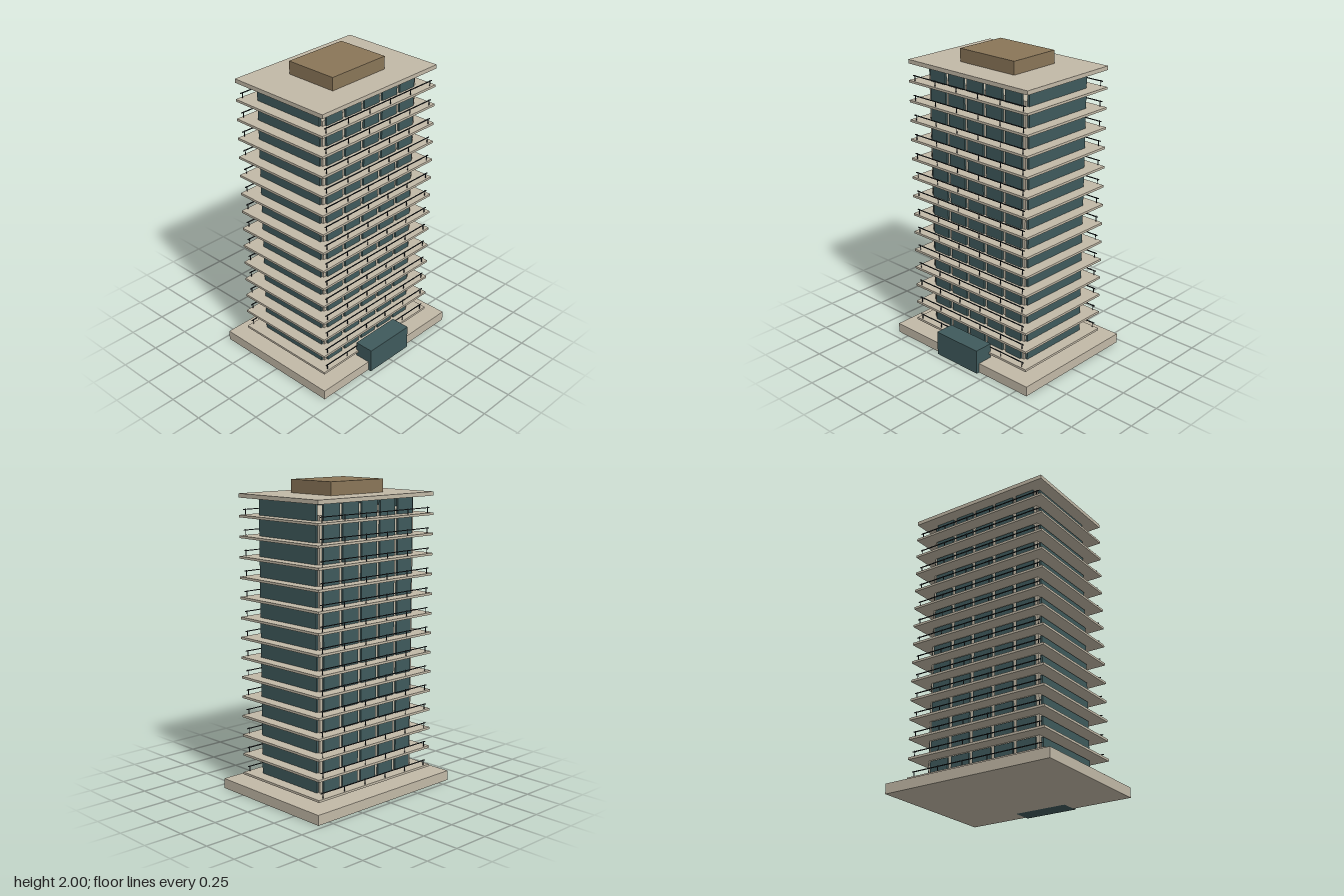
import * as THREE from 'three';

const material = (color) => new THREE.MeshStandardMaterial({ color, flatShading: true });

export function createModel() {
  const tower = new THREE.Group();
  tower.name = 'apartmentTower';
  const concrete = material(0xc2b9a7);
  const glass = material(0x3f5a5c);
  const brown = material(0x8a7658);
  const metal = material(0x22272a);

  // Box given by its limits on each axis
  const block = (name, mat, [x0, x1], [y0, y1], [z0, z1], parent = tower) => {
    const mesh = new THREE.Mesh(new THREE.BoxGeometry(x1 - x0, y1 - y0, z1 - z0), mat);
    mesh.position.set((x0 + x1) / 2, (y0 + y1) / 2, (z0 + z1) / 2);
    mesh.name = name;
    parent.add(mesh);
    return mesh;
  };

  const midZ = -0.0125;
  const storeys = 14;
  const pitch = 0.1287;
  const firstFloor = 0.11; // top of the lowest balcony slab

  // Podium, core, roof and entrance
  block('podium', concrete, [-0.587, 0.587], [0, 0.065], [-0.465, 0.44]);
  block('core', concrete, [-0.405, 0.405], [0.065, 1.815], [-0.285, 0.26]);
  block('roofSlab', concrete, [-0.497, 0.497], [1.89, 1.916], [-0.375, 0.35]);
  block('roofPlantRoom', brown, [-0.225, 0.225], [1.916, 2], [-0.193, 0.167]);
  block('entranceBlock', glass, [-0.18, 0.18], [0, 0.165], [0.333, 0.463]);

  for (let i = 0; i < storeys; i++) {
    const floor = new THREE.Group();
    floor.name = `storey${i + 1}`;
    floor.position.y = firstFloor + i * pitch;
    tower.add(floor);
    block('balconySlab', concrete, [-0.497, 0.497], [-0.015, 0], [-0.375, 0.35], floor);

    const height = [0, 0.104];
    for (const side of [-1, 1]) {
      // Five panes on the front and back
      const face = midZ + side * 0.278;
      for (let bay = -2; bay <= 2; bay++) {
        const x = bay * 0.159;
        block('window', glass, [x - 0.066, x + 0.066], height, [face - 0.007, face + 0.007], floor);
      }

      // One long pane on each end wall
      block('endWindow', glass, [side * 0.413 - 0.007, side * 0.413 + 0.007], height, [-0.27, 0.248], floor);

      // Balcony railing
      const railZ = midZ + side * 0.35;
      block('handrail', metal, [-0.47, 0.47], [0.03, 0.035], [railZ - 0.003, railZ + 0.003], floor);
      for (let p = 0; p < 6; p++) {
        const x = -0.455 + p * 0.182;
        block('railPost', metal, [x - 0.002, x + 0.002], [0, 0.038], [railZ - 0.002, railZ + 0.002], floor);
      }
    }
  }
  return tower;
}
